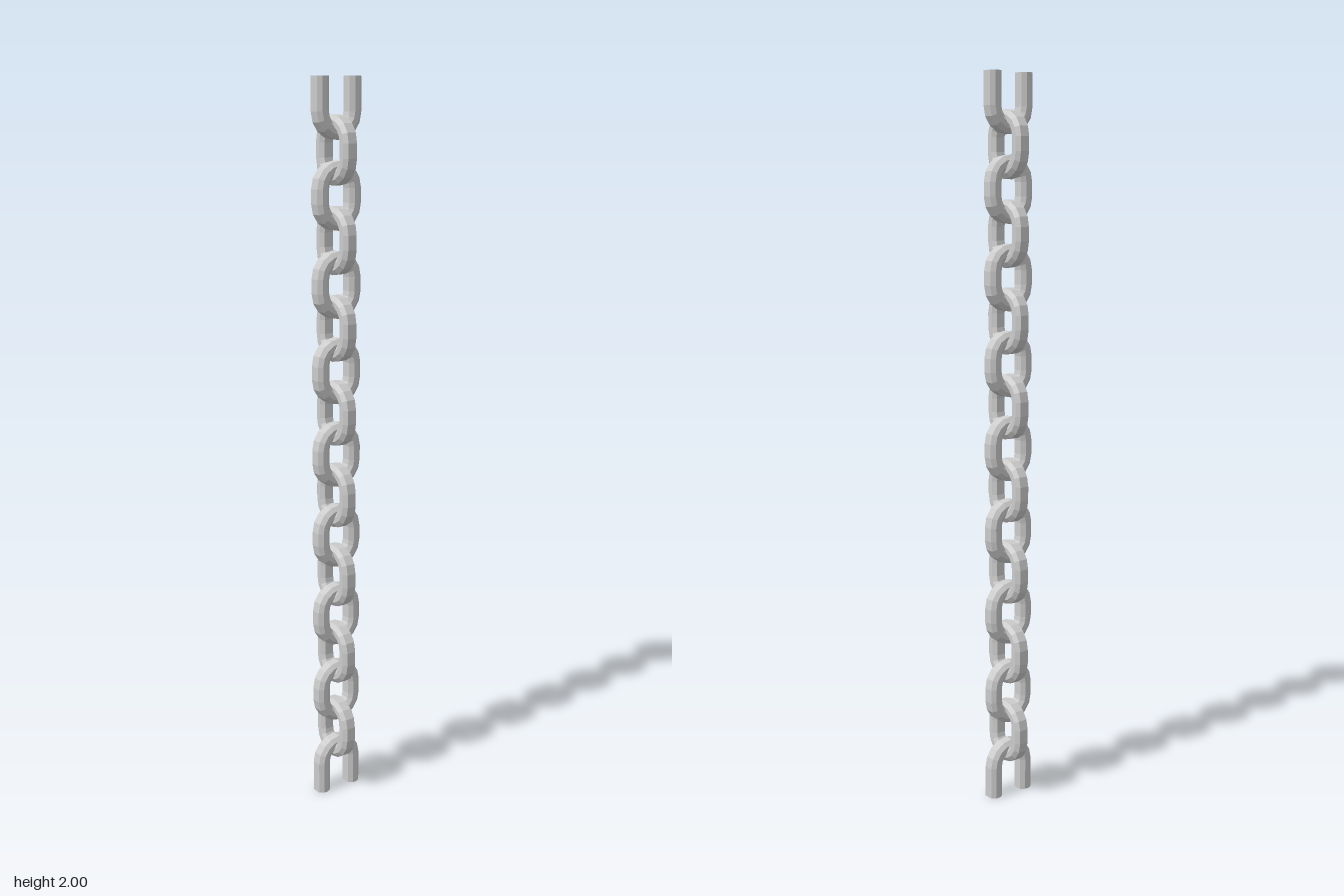
import * as THREE from 'three';

const RADIUS = 0.052;    // centreline radius of the link bends
const STRAIGHT = 0.019;  // half length of the straight sides
const PITCH = 0.1163;    // spacing of neighbouring links
const BEND_STEPS = 8;

// Wire cross-section: [outward, sideways]
const WIRE = [
  [0.019, 0.0135], [0.007, 0.022], [-0.007, 0.022], [-0.019, 0.0135],
  [-0.019, -0.0135], [-0.007, -0.022], [0.007, -0.022], [0.019, -0.0135],
];

// Stations [angle, y offset] along one half-circle bend
function bend(start, offset) {
  return Array.from({ length: BEND_STEPS + 1 }, (_, i) => [start + (Math.PI * i) / BEND_STEPS, offset]);
}

// Sweep the wire through the stations in the XY plane
function sweep(stations, closed) {
  const n = WIRE.length, count = stations.length;
  const positions = [], index = [];
  for (const [a, y] of stations) {
    for (const [r, w] of WIRE) {
      positions.push(Math.cos(a) * (RADIUS + r), Math.sin(a) * (RADIUS + r) + y, w);
    }
  }
  for (let i = 0; i < (closed ? count : count - 1); i++) {
    const p = i * n, q = ((i + 1) % count) * n;
    for (let j = 0; j < n; j++) {
      const k = (j + 1) % n;
      index.push(p + j, q + j, q + k, p + j, q + k, p + k);
    }
  }
  if (!closed) {
    // Flat caps on the cut ends
    const e = (count - 1) * n;
    for (let j = 1; j < n - 1; j++) index.push(0, j, j + 1, e, e + j + 1, e + j);
  }
  const indexed = new THREE.BufferGeometry();
  indexed.setAttribute('position', new THREE.Float32BufferAttribute(positions, 3));
  indexed.setIndex(index);
  const geometry = indexed.toNonIndexed();
  geometry.computeVertexNormals();
  return geometry;
}

export function createModel() {
  const chain = new THREE.Group();
  chain.name = 'chain';
  const metal = new THREE.MeshStandardMaterial({ color: 0xcccccc, flatShading: true });

  // Whole links, alternating between the two planes
  const linkGeometry = sweep([...bend(0, STRAIGHT), ...bend(Math.PI, -STRAIGHT)], true);
  for (let i = -7; i <= 7; i++) {
    const link = new THREE.Mesh(linkGeometry, metal);
    link.name = `link${i + 8}`;
    link.position.y = 1 + i * PITCH;
    if (i % 2 !== 0) link.rotation.y = Math.PI / 2;
    chain.add(link);
  }

  // Cut links at both ends, legs reaching the floor and the top
  const centre = 1 - 8 * PITCH;
  const halfGeometry = sweep([[0, 0], ...bend(0, centre + STRAIGHT), [Math.PI, 0]], false);
  const bottom = new THREE.Mesh(halfGeometry, metal);
  bottom.name = 'bottomHalfLink';
  const top = new THREE.Mesh(halfGeometry, metal);
  top.name = 'topHalfLink';
  top.rotation.z = Math.PI;
  top.position.y = 2;
  chain.add(bottom, top);

  return chain;
}
